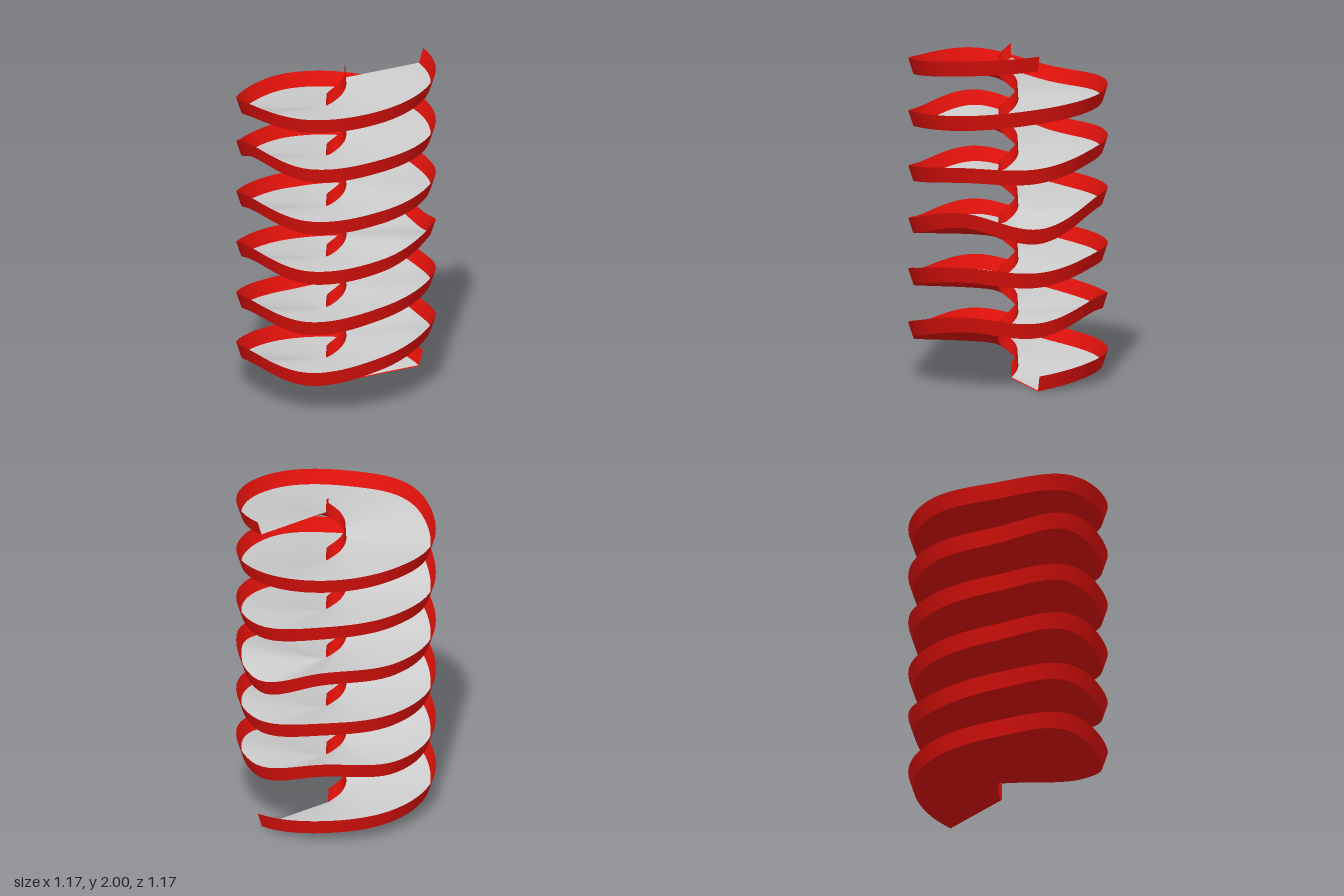
import * as THREE from 'three';

// Outer rim height every 45 degrees, starting at +x and climbing round the back
const WALL = 0.093;
const RIM = [
  0.093, 0.15, 0.177, 0.22, 0.32, 0.28, 0.365, 0.44,
  0.41, 0.52, 0.487, 0.53, 0.64, 0.60, 0.68, 0.735,
  0.71, 0.79, 0.805, 0.845, 0.97, 0.92, 0.98, 1.06,
  0.97, 1.12, 1.13, 1.165, 1.285, 1.235, 1.285, 1.33,
  1.33, 1.42, 1.45, 1.475, 1.62, 1.565, 1.61, 1.64,
  1.685, 1.725, 1.755, 1.765, 1.87, 1.875, 1.92, 1.965, 2.0,
];
const STEPS = (RIM.length - 1) * 12;
const TURNS = (RIM.length - 1) / 8;

// The outer edge undulates, the inner edge climbs as an even helix
const path = new THREE.CatmullRomCurve3(
  RIM.map((y, i) => new THREE.Vector3(i, y - WALL, 0)), false, 'catmullrom', 0.5);
const outerEdge = (t) => path.getPoint(t).y;
const innerEdge = (t) => t * (2 - WALL);

// Ribbon along the spiral between two section points [radius, lift, edge height]
function ribbon(name, a, b, material) {
  const pos = [], index = [];
  for (let i = 0; i <= STEPS; i++) {
    const t = i / STEPS;
    const angle = t * TURNS * Math.PI * 2;
    for (const [r, lift, edge] of [a, b]) {
      pos.push(r * Math.cos(angle), edge(t) + lift, -r * Math.sin(angle));
    }
    if (i < STEPS) {
      const k = i * 2;
      index.push(k, k + 1, k + 2, k + 1, k + 3, k + 2);
    }
  }
  const geo = new THREE.BufferGeometry();
  geo.setAttribute('position', new THREE.Float32BufferAttribute(pos, 3));
  geo.setIndex(index);
  geo.computeVertexNormals();
  const mesh = new THREE.Mesh(geo, material);
  mesh.name = name;
  return mesh;
}

export function createModel() {
  const red = new THREE.MeshStandardMaterial({ color: 0xe8120c, side: THREE.DoubleSide });
  const grey = new THREE.MeshStandardMaterial({ color: 0xcccccc, side: THREE.DoubleSide });
  const group = new THREE.Group();
  group.name = 'spiralTrack';

  const inner = 0.061, outer = 0.557;
  group.add(
    // Grey running surface just above the red underside
    ribbon('trackFloor', [inner, 0.006, innerEdge], [outer, 0.006, outerEdge], grey),
    ribbon('trackUnderside', [inner, 0, innerEdge], [outer, 0, outerEdge], red),
    // Outer wall flares outward, inner wall stands almost upright
    ribbon('outerWall', [outer, 0, outerEdge], [0.587, WALL, outerEdge], red),
    ribbon('innerWall', [0.056, WALL, innerEdge], [inner, 0, innerEdge], red),
  );
  return group;
}
